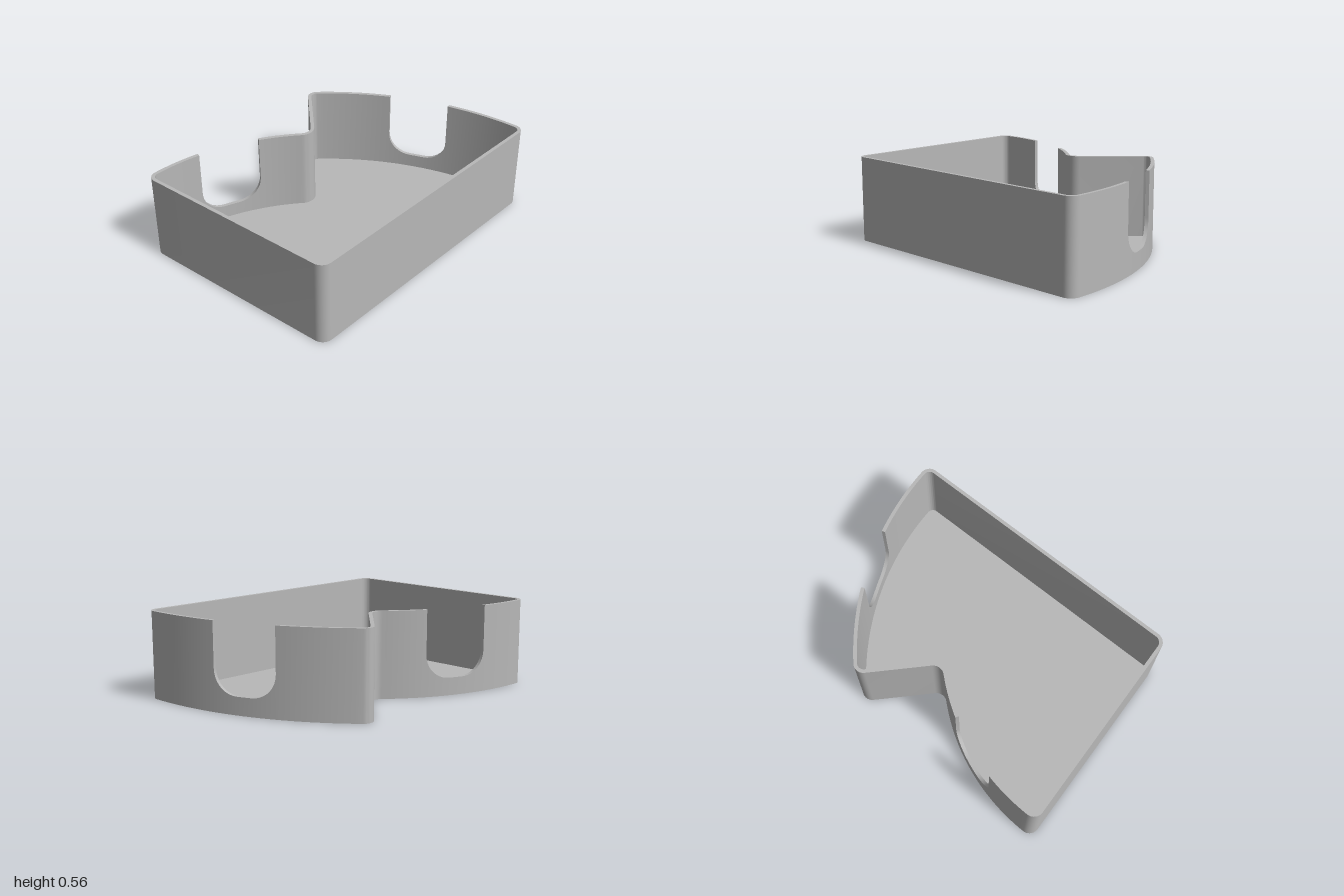
import * as THREE from 'three';
import { toCreasedNormals } from 'three/addons/utils/BufferGeometryUtils.js';

// Plan: a stepped sector around one pivot, drawn in (x, -z)
const PIVOT = new THREE.Vector2(-0.93, -0.693);
const R_SMALL = 1.39, R_BIG = 1.93;
const STEP = 46, END = 93; // degrees
const HEIGHT = 0.56, WALL = 0.023, FLOOR = 0.025, FILLET = 0.065;
const NOTCH = { half: 0.205, flat: 0.05, radius: 0.155, bottom: 0.115 };

const rad = THREE.MathUtils.degToRad;
const polar = (r, deg) => new THREE.Vector2(
  PIVOT.x + r * Math.cos(rad(deg)), PIVOT.y + r * Math.sin(rad(deg)));

// Outline points, each with the wall height just before and just after it
function outline() {
  const pts = [];
  const add = (p, h0 = HEIGHT, h1 = h0) => pts.push({ p, h0, h1 });

  const corner = (a, k, b) => {
    const curve = new THREE.CubicBezierCurve(
      a, a.clone().lerp(k, 0.55), b.clone().lerp(k, 0.55), b);
    curve.getPoints(10).forEach((p) => add(p));
  };

  // Curved wall with a round-bottomed notch in its middle
  const notchedArc = (r, from, to, mid) => {
    const { half, flat, radius, bottom } = NOTCH;
    const angle = (u) => mid + THREE.MathUtils.radToDeg(Math.asin(u / r));
    const steps = 10;
    const span = (a, b) => {
      for (let i = 1; i < steps; i++) add(polar(r, a + (b - a) * i / steps));
    };
    span(from, angle(-half));
    for (let side = -1; side <= 1; side += 2) {
      for (let i = 0; i <= 9; i++) {
        const t = (side < 0 ? 9 - i : i) / 9 * Math.PI / 2;
        const y = bottom + radius * (1 - Math.cos(t));
        const rim = t > 1.57;
        add(polar(r, angle(side * (flat + radius * Math.sin(t)))),
          rim && side < 0 ? HEIGHT : y, rim && side > 0 ? HEIGHT : y);
      }
      if (side < 0) add(polar(r, mid), bottom);
    }
    span(angle(half), to);
  };

  const dBig = THREE.MathUtils.radToDeg(FILLET / R_BIG);
  const dSmall = THREE.MathUtils.radToDeg(FILLET / R_SMALL);
  corner(polar(FILLET, END), polar(0, 0), polar(FILLET, 0));
  corner(polar(R_BIG - FILLET, 0), polar(R_BIG, 0), polar(R_BIG, dBig));
  notchedArc(R_BIG, dBig, STEP - dBig, 22.8);
  corner(polar(R_BIG, STEP - dBig), polar(R_BIG, STEP), polar(R_BIG - FILLET, STEP));
  corner(polar(R_SMALL + FILLET, STEP), polar(R_SMALL, STEP), polar(R_SMALL, STEP + dSmall));
  notchedArc(R_SMALL, STEP + dSmall, END - dSmall, 68.8);
  corner(polar(R_SMALL, END - dSmall), polar(R_SMALL, END), polar(R_SMALL - FILLET, END));

  // Inner point: offset along the bisector of the neighbouring edges
  const n = pts.length;
  pts.forEach((c, i) => {
    const before = c.p.clone().sub(pts[(i + n - 1) % n].p).normalize();
    const after = pts[(i + 1) % n].p.clone().sub(c.p).normalize();
    const t = before.add(after).normalize();
    c.q = new THREE.Vector2(c.p.x - t.y * WALL, c.p.y + t.x * WALL);
  });
  return pts;
}

function wallGeometry(pts) {
  const pos = [];
  const v = (p, y) => [p.x, y, -p.y];
  const quad = (a, b, c, d) => pos.push(...a, ...b, ...c, ...a, ...c, ...d);
  pts.forEach((a, i) => {
    const b = pts[(i + 1) % pts.length];
    const ha = a.h1, hb = b.h0;
    quad(v(a.p, 0), v(b.p, 0), v(b.p, hb), v(a.p, ha));   // outside
    quad(v(b.q, 0), v(a.q, 0), v(a.q, ha), v(b.q, hb));   // inside
    quad(v(a.p, ha), v(b.p, hb), v(b.q, hb), v(a.q, ha)); // rim
    quad(v(b.p, 0), v(a.p, 0), v(a.q, 0), v(b.q, 0));     // underside
    if (a.h0 !== a.h1) {                                  // upright notch edge
      quad(v(a.p, a.h0), v(a.p, a.h1), v(a.q, a.h1), v(a.q, a.h0));
    }
  });
  const geo = new THREE.BufferGeometry();
  geo.setAttribute('position', new THREE.Float32BufferAttribute(pos, 3));
  return toCreasedNormals(geo, 0.5);
}

export function createModel() {
  const group = new THREE.Group();
  group.name = 'sectorTray';
  const grey = new THREE.MeshStandardMaterial({ color: 0xb8b8b8 });
  grey.name = 'grey';

  const pts = outline();
  const wall = new THREE.Mesh(wallGeometry(pts), grey);
  wall.name = 'notchedWall';

  // Floor plate inside the wall
  const floorGeo = new THREE.ExtrudeGeometry(
    new THREE.Shape(pts.map((c) => c.q)), { depth: FLOOR, bevelEnabled: false });
  floorGeo.rotateX(-Math.PI / 2);
  const floor = new THREE.Mesh(floorGeo, grey);
  floor.name = 'floor';

  group.add(wall, floor);
  return group;
}
